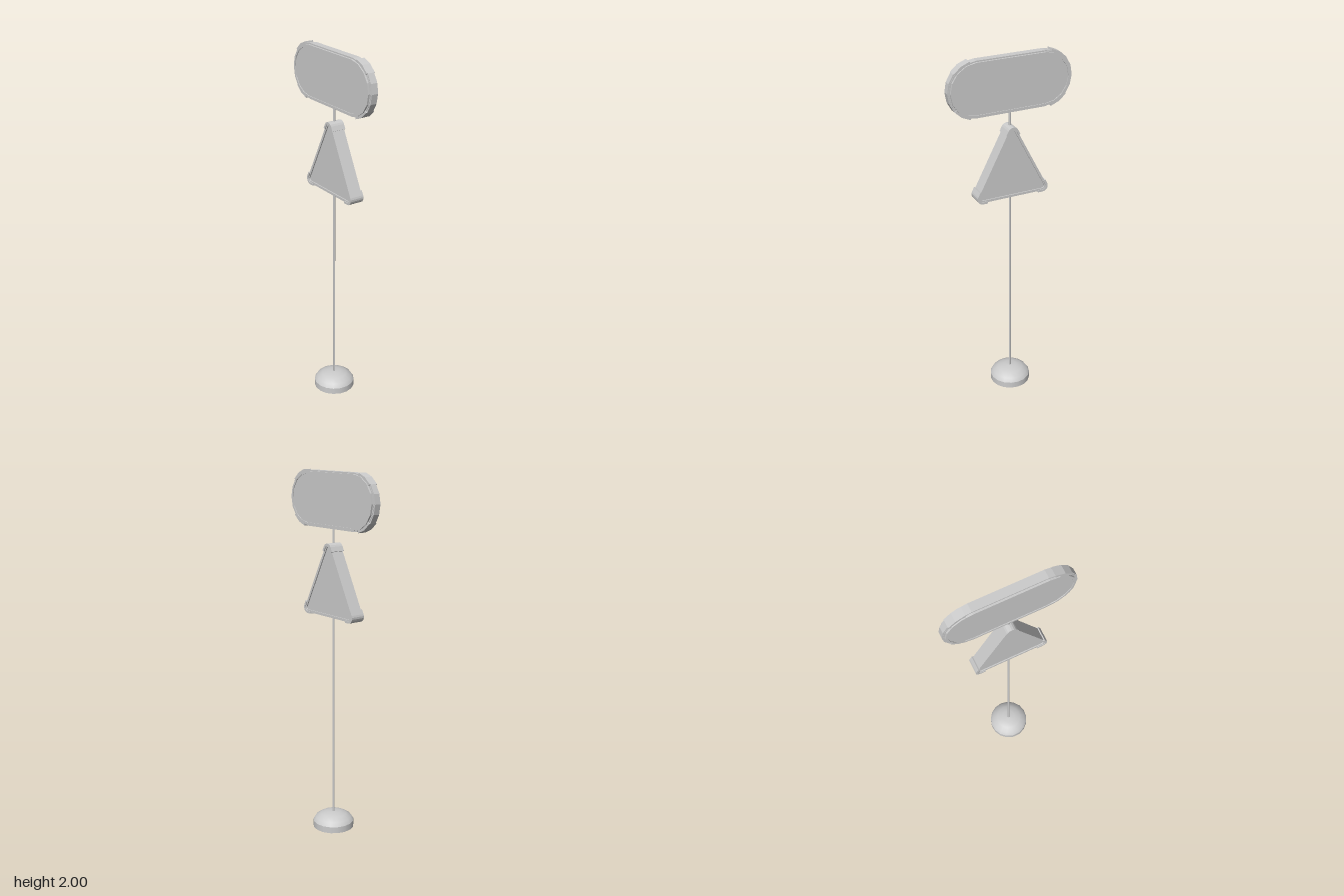
import * as THREE from 'three';

const material = new THREE.MeshStandardMaterial({ color: 0xcccccc, side: THREE.DoubleSide });
const rad = THREE.MathUtils.degToRad;

function add(group, name, geometry) {
  const mesh = new THREE.Mesh(geometry, material);
  mesh.name = name;
  group.add(mesh);
  return mesh;
}

// Points on an arc round c, angles in degrees
function arc(c, r, a0, a1, segments) {
  return Array.from({ length: segments + 1 }, (_, i) => {
    const a = rad(a0 + ((a1 - a0) * i) / segments);
    return new THREE.Vector2(c[0] + r * Math.cos(a), c[1] + r * Math.sin(a));
  });
}

// Outline running round all corners at distance r from their centres
const outline = (corners, r, segments) =>
  corners.flatMap(({ c, a0, a1 }) => arc(c, r, a0, a1, segments));

// Slab of the given half width across x
function slab(points, half, hole) {
  const shape = new THREE.Shape(points);
  if (hole) shape.holes.push(new THREE.Path(hole));
  const geometry = new THREE.ExtrudeGeometry(shape, { depth: half * 2, bevelEnabled: false });
  geometry.translate(0, 0, -half);
  geometry.rotateY(Math.PI / 2);
  return geometry;
}

// Clip that wraps a corner, with straight legs along both neighbouring edges
function clip({ c, a0, a1 }, r, R, leg, segments) {
  const band = (radius) => {
    const pts = arc(c, radius, a0, a1, segments);
    const first = pts[0].clone(), last = pts[pts.length - 1].clone();
    if (leg > 0) {
      first.add(new THREE.Vector2(Math.sin(rad(a0)), -Math.cos(rad(a0))).multiplyScalar(leg));
      last.add(new THREE.Vector2(-Math.sin(rad(a1)), Math.cos(rad(a1))).multiplyScalar(leg));
      return [first, ...pts, last];
    }
    return pts;
  };
  return [...band(R), ...band(r).reverse()];
}

export function createModel() {
  const model = new THREE.Group();
  model.name = 'roadSign';

  // Domed foot
  const foot = new THREE.Group();
  foot.name = 'foot';
  model.add(foot);
  const rim = new THREE.CylinderGeometry(0.115, 0.115, 0.036, 17, 1, false, Math.PI / 2);
  add(foot, 'footRim', rim).position.y = 0.018;
  const dome = [[0.115, 0.036], [0.101, 0.058], [0.072, 0.076], [0.038, 0.085], [0, 0.087]];
  add(foot, 'footDome', new THREE.LatheGeometry(
    dome.map(([x, y]) => new THREE.Vector2(x, y)), 17, Math.PI / 2));

  // Pole
  add(model, 'pole', new THREE.CylinderGeometry(0.006, 0.006, 1.63, 8)).position.y = 0.895;

  // Triangular sign
  const triangle = new THREE.Group();
  triangle.name = 'triangleSign';
  triangle.position.x = 0.002;
  model.add(triangle);
  const triCorners = [
    { c: [0.175, 1.25], a0: -90, a1: 27.2 },
    { c: [0, 1.59], a0: 27.2, a1: 152.8 },
    { c: [-0.175, 1.25], a0: 152.8, a1: 270 },
  ];
  add(triangle, 'triangleFrame',
    slab(outline(triCorners, 0.025, 5), 0.037, outline(triCorners, 0.012, 5)));
  add(triangle, 'trianglePanel', slab(outline(triCorners, 0.014, 5), 0.031));
  for (const corner of triCorners)
    add(triangle, 'cornerClip', slab(clip(corner, 0.019, 0.031, 0.027, 6), 0.041));

  // Long sign with round ends
  const oval = new THREE.Group();
  oval.name = 'ovalSign';
  oval.position.x = -0.002;
  model.add(oval);
  const ends = [
    { c: [0.19, 1.845], a0: -90, a1: 90 },
    { c: [-0.19, 1.845], a0: 90, a1: 270 },
  ];
  add(oval, 'ovalBody', slab(outline(ends, 0.149, 8), 0.02));
  add(oval, 'ovalRim', slab(outline(ends, 0.142, 8), 0.03, outline(ends, 0.13, 8)));
  add(oval, 'ovalPanel', slab(outline(ends, 0.132, 8), 0.026));

  // End bands, wider above and below than at the tip
  for (const { c } of ends) {
    const mid = c[0] > 0 ? 0 : 180;
    for (const [from, to, half, n] of [[-77, -39, 0.024, 2], [-39, 39, 0.018, 4], [39, 77, 0.024, 2]])
      add(oval, 'endBand', slab(clip({ c, a0: mid + from, a1: mid + to }, 0.138, 0.155, 0, n), half));
  }
  return model;
}
